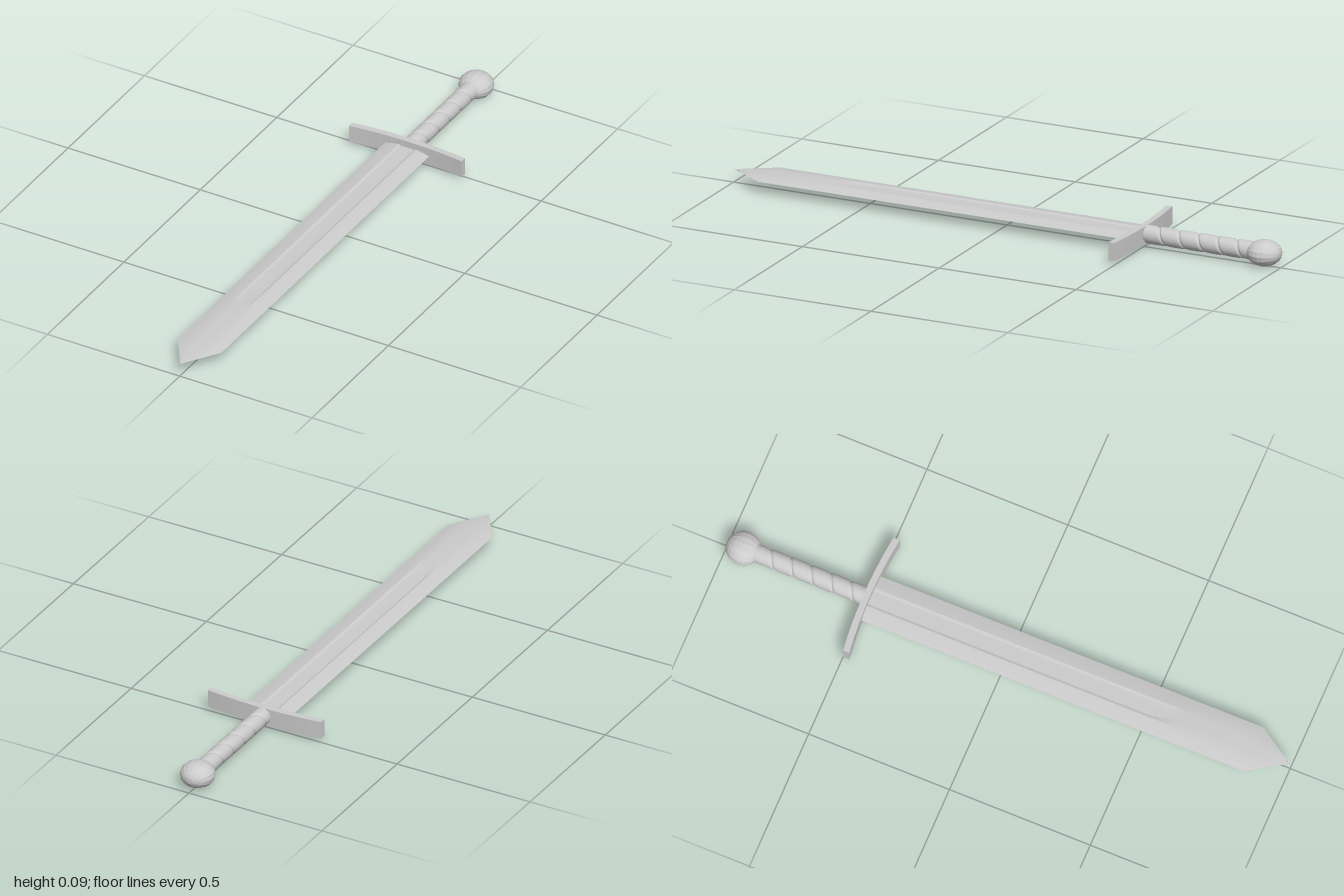
import * as THREE from 'three';
import { mergeVertices, toCreasedNormals } from 'three/addons/utils/BufferGeometryUtils.js';

const CENTRE_Y = 0.045;

function addPart(group, name, geometry, options = {}) {
  const mesh = new THREE.Mesh(geometry, new THREE.MeshStandardMaterial({ color: 0xcccccc, ...options }));
  mesh.name = name;
  group.add(mesh);
  return mesh;
}

// Blade: lens-shaped cross-sections with a shallow central fuller, lofted along z
function bladeGeometry() {
  // z, half width, half thickness, fuller depth, fuller width factor
  const stations = [
    [-0.5, 0.083, 0.0095, 0.003, 1],
    [0.5, 0.083, 0.0105, 0.003, 1],
    [0.57, 0.083, 0.011, 0.003, 0.8],
    [0.61, 0.083, 0.011, 0, 0.4],
    [0.87, 0.083, 0.009, 0, 0.4],
    [0.995, 0.001, 0.001, 0, 0.4],
    [1, 0, 0, 0, 0.4],
  ];
  const positions = [], indices = [];
  let count = 0;
  for (const [z, w, t, depth, f] of stations) {
    const half = [[-1, 0], [-0.7, 0.62 * t], [-0.4, t], [-0.3 * f, t - depth], [0, t - depth],
      [0.3 * f, t - depth], [0.4, t], [0.7, 0.62 * t]];
    const ring = [...half, ...half.map(([x, y]) => [-x, -y])];
    count = ring.length;
    for (const [x, y] of ring) positions.push(x * w, y, z);
  }
  for (let j = 0; j < stations.length - 1; j++) {
    for (let i = 0; i < count; i++) {
      const a = j * count + i, b = j * count + (i + 1) % count;
      indices.push(a, a + count, b + count, a, b + count, b);
    }
  }
  const geometry = new THREE.BufferGeometry();
  geometry.setAttribute('position', new THREE.Float32BufferAttribute(positions, 3));
  geometry.setIndex(indices);
  return toCreasedNormals(geometry, 0.3);
}

// Crossguard: flat bar whose ends sweep toward the blade
function guardGeometry() {
  const geometry = new THREE.BoxGeometry(0.426, 0.062, 0.022, 16, 1, 1);
  const p = geometry.attributes.position;
  for (let i = 0; i < p.count; i++) {
    p.setZ(i, p.getZ(i) + 0.014 * (p.getX(i) / 0.213) ** 2);
  }
  return toCreasedNormals(geometry, 0.6);
}

// Grip: cylinder cut by a narrow spiral groove
function gripGeometry() {
  const radius = 0.031, pitch = 0.071;
  let geometry = new THREE.CylinderGeometry(radius, radius, 0.4, 32, 140, true);
  geometry.rotateX(Math.PI / 2).translate(0, 0, -0.705);
  const p = geometry.attributes.position;
  for (let i = 0; i < p.count; i++) {
    const x = p.getX(i), y = p.getY(i), z = p.getZ(i);
    const phase = (z + 0.7) / pitch + Math.atan2(x, y) / (2 * Math.PI);
    const distance = Math.abs(phase - Math.round(phase)) * 2; // 0 in the groove, 1 mid-wrap
    const scale = 1 - 0.16 * Math.max(0, 1 - distance / 0.25) ** 2 - 0.03 * (1 - distance) ** 2;
    p.setXY(i, x * scale, y * scale);
  }
  geometry.deleteAttribute('uv');
  geometry.deleteAttribute('normal');
  geometry = mergeVertices(geometry, 1e-5);
  geometry.computeVertexNormals();
  return geometry;
}

export function createModel() {
  const sword = new THREE.Group();
  sword.name = 'sword';

  addPart(sword, 'blade', bladeGeometry()).position.y = CENTRE_Y;
  addPart(sword, 'crossguard', guardGeometry()).position.set(0, CENTRE_Y - 0.001, -0.501);
  addPart(sword, 'grip', gripGeometry()).position.y = CENTRE_Y;

  // Pommel: faceted ball, flattened top to bottom
  const ball = new THREE.SphereGeometry(1, 16, 12).rotateX(Math.PI / 2).scale(0.059, 0.044, 0.059);
  addPart(sword, 'pommel', ball, { flatShading: true }).position.set(0, 0.044, -0.941);

  return sword;
}
